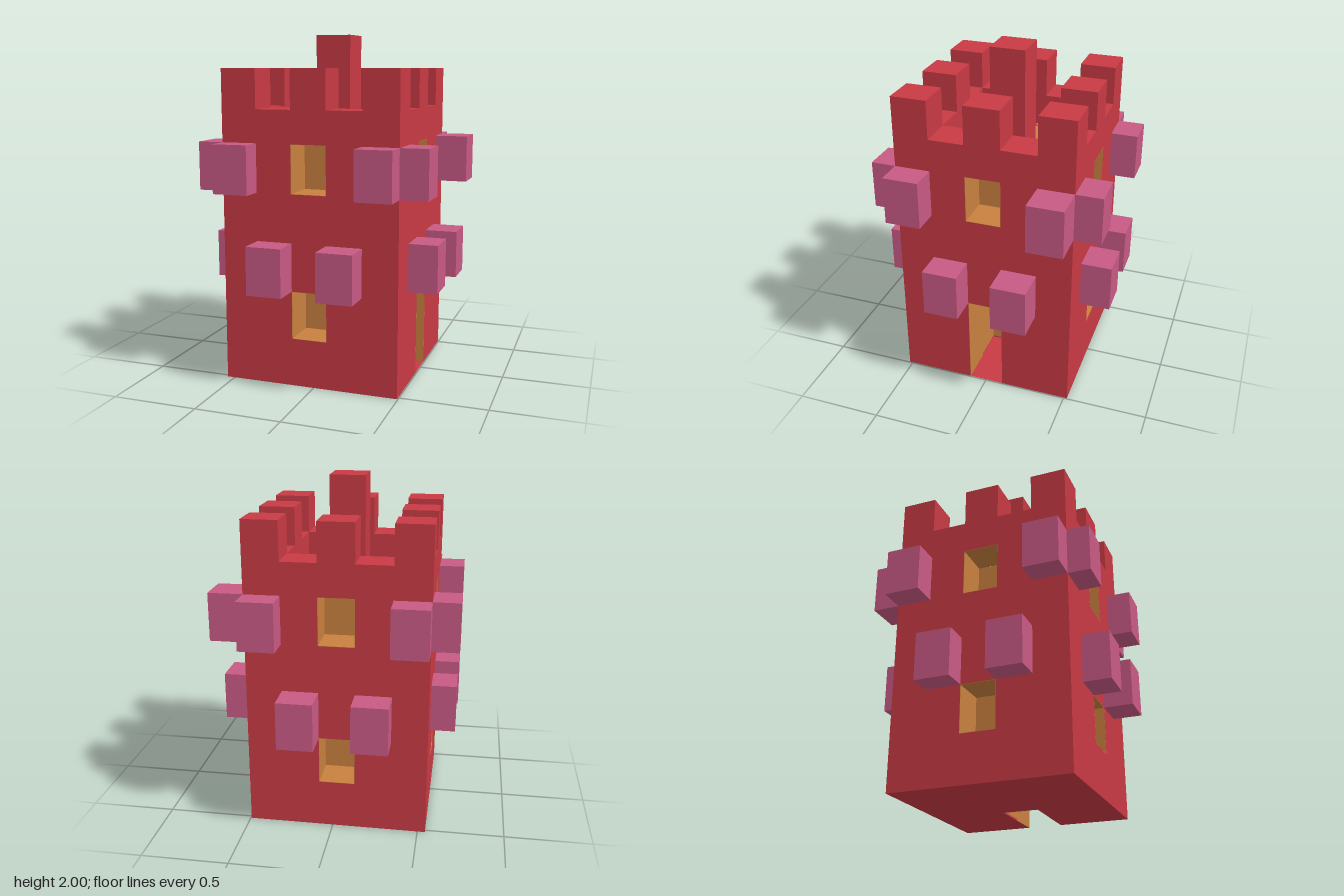
import * as THREE from 'three';

const C = 0.208;              // cell width: the tower is 5 x 5 cells
const H = 2.5 * C;            // half width of the tower
const L = 0.279;              // storey height
const WALL_TOP = 1.585, MERLON_TOP = 1.81, DECK = 1.392;

const paint = (color) => new THREE.MeshStandardMaterial({ color, flatShading: true });

function polygon(points) {
  return new THREE.Shape(points.map(([x, y]) => new THREE.Vector2(x, y)));
}

function rect(x0, x1, y0, y1) {
  return polygon([[x0, y0], [x1, y0], [x1, y1], [x0, y1]]);
}

function extrude(shape, depth) {
  return new THREE.ExtrudeGeometry(shape, { depth, bevelEnabled: false });
}

function add(parent, name, geometry, material, x = 0, y = 0, z = 0) {
  const mesh = new THREE.Mesh(geometry, material);
  mesh.name = name;
  mesh.position.set(x, y, z);
  parent.add(mesh);
  return mesh;
}

// Box standing on y0 and reaching y1
function block(parent, name, material, w, d, y0, y1, x, z) {
  return add(parent, name, new THREE.BoxGeometry(w, y1 - y0, d), material, x, (y0 + y1) / 2, z);
}

// Wall outline, with a notch at the foot when it holds the door
function wallShape(half, hasDoor) {
  const h = C / 2;
  const foot = hasDoor ? [[-h, 0], [-h, 2 * L], [h, 2 * L], [h, 0]] : [];
  const shape = polygon([[-half, 0], ...foot, [half, 0], [half, WALL_TOP], [-half, WALL_TOP]]);
  shape.holes.push(rect(-h, h, 4 * L, 5 * L));
  if (!hasDoor) shape.holes.push(rect(-h, h, L, 2 * L));
  return shape;
}

// Thin lining of an opening; the door lining is open at the foot
function liningShape(y0, y1, openFoot) {
  const h = C / 2, t = 0.002;
  if (openFoot) {
    return polygon([[-h, y0], [-h + t, y0], [-h + t, y1 - t], [h - t, y1 - t],
      [h - t, y0], [h, y0], [h, y1], [-h, y1]]);
  }
  const shape = rect(-h, h, y0, y1);
  shape.holes.push(rect(-h + t, h - t, y0 + t, y1 - t));
  return shape;
}

export function createModel() {
  const model = new THREE.Group();
  model.name = 'tower';
  const tower = new THREE.Group();
  tower.name = 'towerBody';
  tower.position.x = -0.025;
  model.add(tower);

  const red = paint(0xc83a44), orange = paint(0xc8803e), pink = paint(0xc85a84);

  // Each side: its turn, and how far its four blocks stick out
  const sides = [
    { name: 'front', turn: 0, out: [0.13, 0.16, 0.17, 0.145] },
    { name: 'right', turn: Math.PI / 2, out: [0.16, 0.17, 0.19, 0.2], door: true },
    { name: 'back', turn: Math.PI, out: [0.155, 0.18, 0.17, 0.16] },
    { name: 'left', turn: -Math.PI / 2, out: [0.155, 0.145, 0.15, 0.15] },
  ];
  sides.forEach(({ name, turn, out, door }, i) => {
    const side = new THREE.Group();
    side.name = name + 'Side';
    side.rotation.y = turn;
    tower.add(side);

    // Wall and opening linings
    const half = i % 2 ? 1.5 * C : H;
    add(side, 'wall', extrude(wallShape(half, door), C), red, 0, 0, 1.5 * C);
    add(side, 'windowLining', extrude(liningShape(4 * L, 5 * L, false), C), orange, 0, 0, 1.5 * C);
    add(side, door ? 'doorLining' : 'lowerWindowLining',
      extrude(liningShape(door ? 0 : L, 2 * L, door), C), orange, 0, 0, 1.5 * C);

    // One corner merlon and one middle merlon
    for (const x of [-2 * C, 0]) block(side, 'merlon', red, C, C, WALL_TOP, MERLON_TOP, x, 2 * C);

    // High blocks at the corners, low blocks beside the middle
    [-2, -1, 1, 2].forEach((cell, k) => {
      const y = Math.abs(cell) === 2 ? 4 * L : 2 * L;
      block(side, 'wallBlock', pink, C, out[k], y, y + L, cell * C, H + out[k] / 2);
    });
  });

  // Core with the door passage cut into its foot
  const r = 1.5 * C, h = C / 2;
  const plan = polygon([[-r, -r], [r, -r], [r, -h], [h, -h], [h, h], [r, h], [r, r], [-r, r]]);
  const base = add(tower, 'base', extrude(plan, 0.01), red);
  const foot = add(tower, 'lowerCore', extrude(plan, 2 * L - 0.01), orange, 0, 0.01);
  base.rotation.x = foot.rotation.x = -Math.PI / 2;
  block(tower, 'upperCore', orange, 2 * r, 2 * r, 2 * L, DECK, 0, 0);

  // Passage floor
  const floor = add(tower, 'passageFloor', new THREE.PlaneGeometry(2 * C, C), red, 1.5 * C, 0.001);
  floor.rotation.x = -Math.PI / 2;

  // Roof turret and the narrow strip on the deck
  block(tower, 'turret', red, C, C, DECK, 2, 0, 0);
  block(tower, 'deckStrip', red, 0.012, C, DECK, DECK + 0.003, -0.292, 0);

  return model;
}
